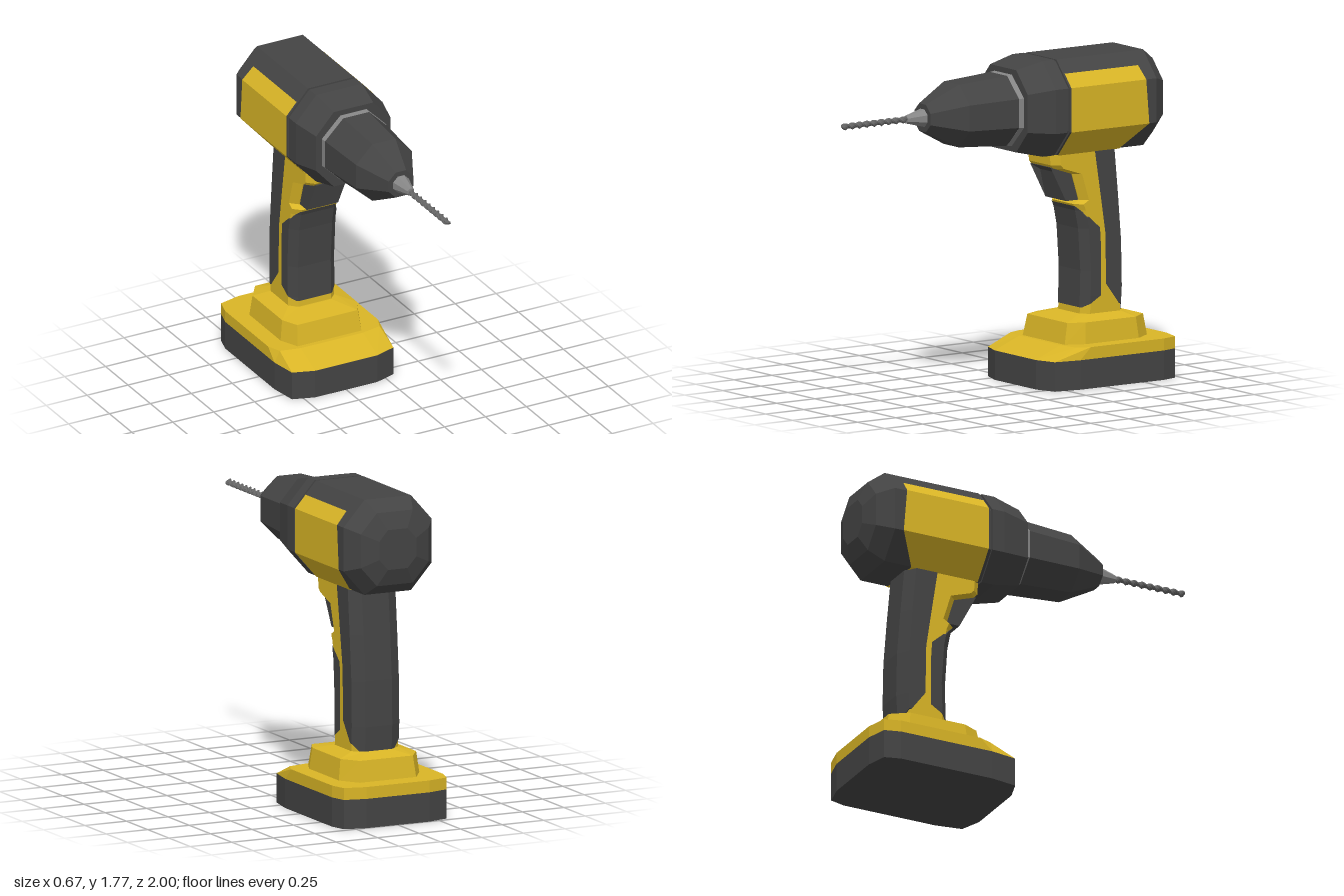
import * as THREE from 'three';

const DARK = 0x444444, YELLOW = 0xd9b526, STEEL = 0x868686;
const AXIS_Y = 1.51; // height of the drilling axis

const material = (color, side = THREE.FrontSide) =>
  new THREE.MeshStandardMaterial({ color, side, flatShading: true });

// Skins a row of cross-sections; closed sections are capped and wound outwards
function loft(name, rings, color, closed = true) {
  const tris = [], n = rings[0].length;
  for (let r = 0; r < rings.length - 1; r++) {
    const a = rings[r], b = rings[r + 1];
    for (let i = 0; i < (closed ? n : n - 1); i++) {
      const j = (i + 1) % n;
      tris.push([a[i], a[j], b[j]], [a[i], b[j], b[i]]);
    }
  }
  if (closed) {
    const first = rings[0], last = rings[rings.length - 1];
    for (let i = 1; i < n - 1; i++) {
      tris.push([first[0], first[i + 1], first[i]], [last[0], last[i], last[i + 1]]);
    }
    const v = (p) => new THREE.Vector3(...p);
    const volume = tris.reduce((s, [a, b, c]) => s + v(a).dot(v(b).cross(v(c))), 0);
    if (volume < 0) tris.forEach((t) => t.reverse());
  }
  const geometry = new THREE.BufferGeometry();
  geometry.setAttribute('position', new THREE.Float32BufferAttribute(tris.flat(2), 3));
  geometry.computeVertexNormals();
  const mesh = new THREE.Mesh(geometry, material(color, closed ? THREE.FrontSide : THREE.DoubleSide));
  mesh.name = name;
  return mesh;
}

// Completes a half outline with its mirror image across x = 0
const mirrored = (half) => [...half, ...half.map(([x, ...rest]) => [-x, ...rest]).reverse()];

// Octagon around the drilling axis, from [z, scale] stations
const BODY = mirrored([[0.14, 0.26], [0.265, 0.12], [0.265, -0.12], [0.14, -0.26]]);
const ROUND = mirrored([[0.414, 1], [1, 0.414], [1, -0.414], [0.414, -1]]);
const alongAxis = (name, section, stations, color) => loft(name,
  stations.map(([z, s]) => section.map(([x, y]) => [x * s, AXIS_Y + y * s, z])), color);

// Piecewise linear lookup in [y, value] pairs with falling y
function at(table, y) {
  for (let i = 0; i < table.length - 1; i++) {
    const [y0, v0] = table[i], [y1, v1] = table[i + 1];
    if (y >= y1) return v0 + (v1 - v0) * (y0 - y) / (y0 - y1);
  }
  return table[table.length - 1][1];
}

function buildHead() {
  const head = new THREE.Group();
  head.name = 'head';
  head.add(
    alongAxis('motorHousing', BODY, [[-0.31, 1], [-0.88, 1], [-0.965, 0.77], [-1, 0.42]], DARK),
    alongAxis('housingGroove', BODY, [[-0.28, 0.96], [-0.32, 0.96]], DARK),
    alongAxis('gearCollar', BODY, [[-0.06, 0.86], [-0.22, 1], [-0.295, 1]], DARK),
    alongAxis('chuckRing', ROUND, [[-0.03, 0.19], [-0.07, 0.195]], STEEL),
    alongAxis('chuck', ROUND, [[0.47, 0.075], [0.28, 0.17], [-0.035, 0.19]], DARK),
    alongAxis('chuckNose', ROUND, [[0.58, 0.02], [0.46, 0.05]], STEEL),
  );

  // Coloured shell around the sides and underside of the housing: x, y, rear z
  const half = [[0.205, 0.19, -0.8], [0.267, 0.12, -0.81], [0.267, -0.12, -0.83], [0.141, -0.262, -0.72]];
  const shell = mirrored(half).map(([x, y, z]) => [x * 1.006, AXIS_Y + y * 1.006, z]);
  head.add(loft('sidePanels', [shell.map(([x, y]) => [x, y, -0.318]), shell], YELLOW, false));

  // Twisted drill bit with a pointed tip
  const rings = [];
  for (let k = 0; k <= 64; k++) {
    const t = k / 64, turn = t * Math.PI * 9, taper = k === 64 ? 0.25 : 1;
    rings.push(Array.from({ length: 8 }, (_, i) => {
      const a = i * Math.PI / 4;
      const u = 0.02 * taper * Math.cos(a), v = 0.011 * taper * Math.sin(a);
      return [u * Math.cos(turn) - v * Math.sin(turn),
        AXIS_Y + u * Math.sin(turn) + v * Math.cos(turn), 0.57 + 0.43 * t];
    }));
  }
  head.add(loft('drillBit', rings, 0x666666));
  return head;
}

function buildHandle() {
  const handle = new THREE.Group();
  handle.name = 'handle';
  const front = [[1.27, -0.295], [1.19, -0.3], [1.17, -0.32], [1.13, -0.44], [0.985, -0.485],
    [0.965, -0.45], [0.93, -0.465], [0.83, -0.485], [0.6, -0.5], [0.42, -0.495], [0.34, -0.49]];
  const back = [[1.27, -0.725], [1, -0.75], [0.75, -0.77], [0.5, -0.775], [0.34, -0.765]];
  const W = 0.14, FRONT_W = 0.1, BACK_W = 0.08, BEVEL = 0.04;

  // Core of the handle, with bevelled front and back corners
  const ys = [1.27, 1.19, 1.17, 1.13, 1, 0.985, 0.965, 0.93, 0.83, 0.75, 0.6, 0.5, 0.42, 0.34];
  handle.add(loft('handleCore', ys.map((y) => {
    const f = at(front, y), b = at(back, y);
    return mirrored([[FRONT_W, y, f], [W, y, f - BEVEL], [W, y, b + BEVEL], [BACK_W, y, b]]);
  }), YELLOW));

  // Rubber wraps reach from the front or back face round to a cut line on the sides
  const wrap = (name, edge, faceW, dir, cut, rows) => loft(name, rows.map((y) => {
    const face = at(edge, y), depth = Math.max(0.001, (at(cut, y) - face) * dir);
    const bevel = Math.min(depth, BEVEL);
    const x = faceW + (W - faceW) * bevel / BEVEL + 0.003;
    return mirrored([[x, y, face + dir * depth], [x, y, face + dir * (bevel - 0.003)],
      [faceW, y, face - dir * 0.004]]);
  }), DARK, false);
  handle.add(
    wrap('frontGrip', front, FRONT_W, -1,
      [[0.955, -0.455], [0.83, -0.595], [0.75, -0.6], [0.46, -0.6], [0.4, -0.5]],
      [0.955, 0.93, 0.89, 0.83, 0.75, 0.6, 0.5, 0.46, 0.42, 0.4]),
    wrap('backGrip', back, BACK_W, 1,
      [[1.26, -0.56], [1, -0.6], [0.8, -0.63], [0.52, -0.635], [0.36, -0.755]],
      [1.26, 1, 0.8, 0.75, 0.52, 0.5, 0.41, 0.36]),
  );

  // Trigger: side profile in z and y, lofted across the width
  const profile = [[-0.305, 1.175], [-0.37, 1.138], [-0.405, 0.985], [-0.5, 0.985], [-0.48, 1.175]];
  handle.add(loft('trigger', [-0.095, 0.095].map((x) => profile.map(([z, y]) => [x, y, z])), DARK));
  return handle;
}

function buildBase() {
  const base = new THREE.Group();
  base.name = 'base';
  const rear = [[0.335, -0.88], [0.31, -0.97], [0.19, -1]];
  const footprint = [[0.19, -0.14], [0.31, -0.18], [0.335, -0.33], ...rear];
  const shoulder = [[0.19, -0.3], [0.305, -0.325], [0.335, -0.4], ...rear];
  const level = (half, y) => mirrored(half.map(([x, z]) => [x, y, z]));
  base.add(
    loft('battery', [level(footprint, 0), level(footprint, 0.16)], DARK),
    loft('batteryMount', [level(footprint, 0.16), level(shoulder, 0.225)], YELLOW),
    // Stepped foot flaring out below the handle
    loft('handleFoot', [
      level([[0.195, -0.325], [0.243, -0.43], [0.243, -0.78], [0.17, -0.885]], 0.22),
      level([[0.185, -0.35], [0.228, -0.44], [0.228, -0.77], [0.16, -0.865]], 0.34),
      level([[0.1, -0.485], [0.14, -0.53], [0.14, -0.73], [0.08, -0.775]], 0.366),
    ], YELLOW),
  );
  return base;
}

export function createModel() {
  const model = new THREE.Group();
  model.name = 'cordlessDrill';
  model.add(buildHead(), buildHandle(), buildBase());
  return model;
}
